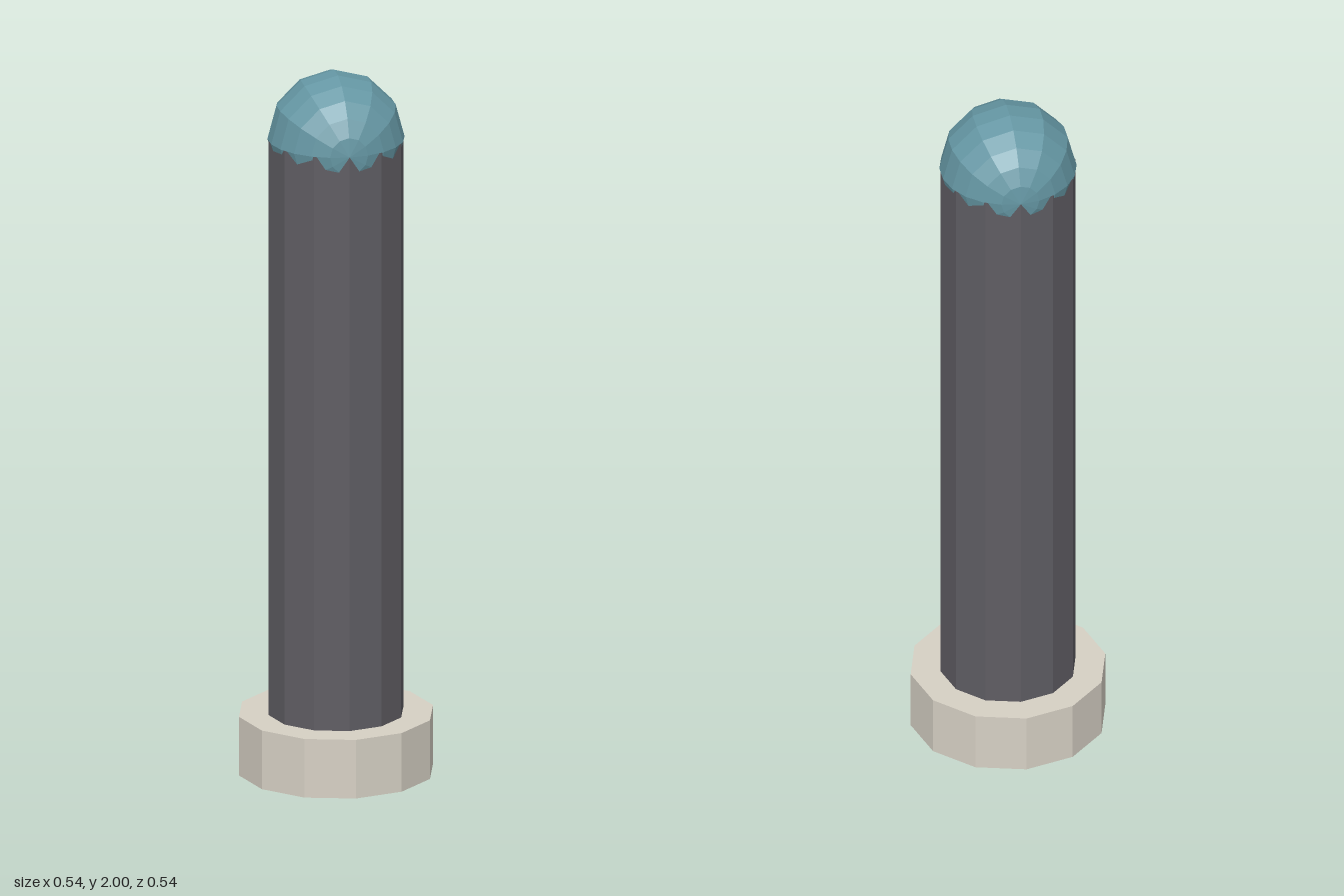
import * as THREE from 'three';

export function createModel() {
  const flat = (name, color) => {
    const m = new THREE.MeshStandardMaterial({ color, flatShading: true });
    m.name = name;
    return m;
  };
  const stone = flat('pale stone', 0xd6d0c4);
  const charcoal = flat('charcoal', 0x5f5d63);
  const teal = flat('dusty teal', 0x6597a4);

  const group = new THREE.Group();
  group.name = 'bollard';
  const add = (name, geometry, material, y) => {
    const mesh = new THREE.Mesh(geometry, material);
    mesh.name = name;
    mesh.position.y = y;
    group.add(mesh);
  };

  const sides = 12;
  const radius = 0.188;
  const baseHeight = 0.168;
  const domeY = 2 - radius;

  // Wide twelve-sided foot
  add('base', new THREE.CylinderGeometry(0.271, 0.271, baseHeight, sides), stone, baseHeight / 2);

  // Post running from the ground to the middle of the cap
  add('post', new THREE.CylinderGeometry(radius, radius, domeY, sides), charcoal, domeY / 2);

  // Round cap with its poles along z, bulging slightly through the post's flat sides
  add('cap', new THREE.SphereGeometry(radius, sides, 11).rotateX(Math.PI / 2), teal, domeY);

  return group;
}
